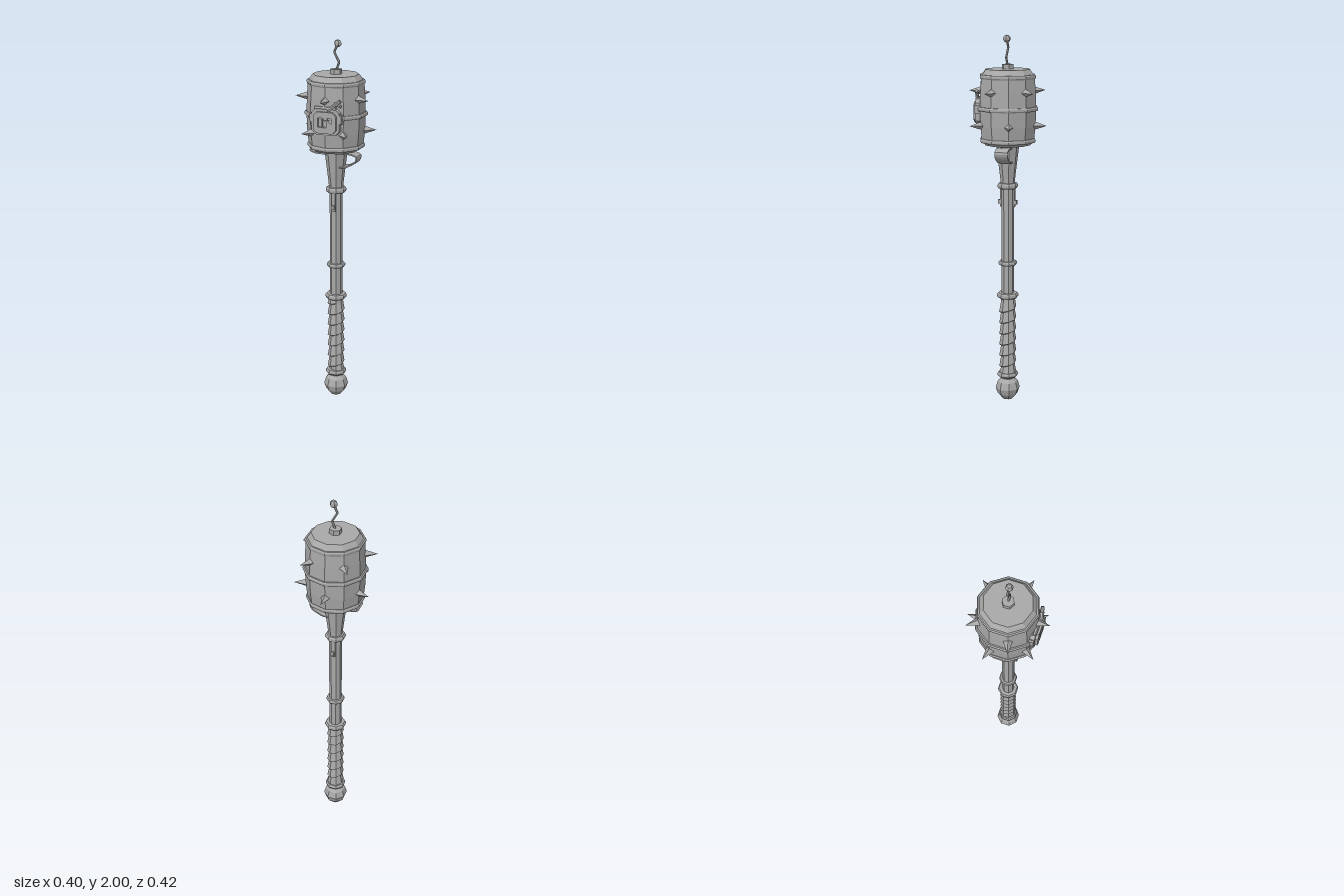
import * as THREE from 'three';

const metal = new THREE.MeshStandardMaterial({ color: 0xa8a8a8, flatShading: true });
metal.name = 'grey metal';

const V = (x, y, z = 0) => new THREE.Vector3(x, y, z);

function add(parent, name, geometry, x = 0, y = 0, z = 0) {
  const mesh = new THREE.Mesh(geometry, metal);
  mesh.name = name;
  mesh.position.set(x, y, z);
  parent.add(mesh);
  return mesh;
}

// Faceted turned part; profile is [radius, height] from bottom to top
function turned(profile, sides) {
  const start = sides === 8 ? Math.PI / 8 : 0;
  return new THREE.LatheGeometry(profile.map(p => new THREE.Vector2(...p)), sides, start);
}

// Bevelled hoop, with inner radius, outer radius and height
function hoop(inner, outer, height, sides) {
  const h = height / 2;
  return turned([[inner, -h], [outer - h * 0.4, -h], [outer, -h * 0.4],
    [outer, h * 0.4], [outer - h * 0.4, h], [inner, h]], sides);
}

// Overlapping spiral strip: wide lower edge, narrow upper edge and a ledge beneath
function spiralWrap(y0, y1, turns, rIn, rOut) {
  const sides = 8, pos = [], idx = [], pitch = (y1 - y0) / turns;
  const n = turns * sides;
  for (let i = 0; i <= n; i++) {
    const a = Math.PI / 8 + i / sides * Math.PI * 2;
    const y = y0 + pitch * (i / sides - 0.5);
    for (const [r, dy] of [[rIn, 0], [rOut, 0.006], [rIn, pitch]]) {
      const h = Math.min(y1, Math.max(y0, y + dy));
      pos.push(Math.sin(a) * r, h, Math.cos(a) * r);
    }
    if (i < n) {
      for (let k = 0; k < 2; k++) {
        const p = i * 3 + k, q = p + 3;
        idx.push(p, q, p + 1, q, q + 1, p + 1);
      }
    }
  }
  const g = new THREE.BufferGeometry();
  g.setAttribute('position', new THREE.Float32BufferAttribute(pos, 3));
  g.setIndex(idx);
  g.computeVertexNormals();
  return g;
}

// Rectangle with cut corners
function cutRect(w, h, c, Type = THREE.Shape) {
  const x = w / 2, y = h / 2;
  return new Type([[-x + c, -y], [x - c, -y], [x, -y + c], [x, y - c],
    [x - c, y], [-x + c, y], [-x, y - c], [-x, -y + c]].map(p => new THREE.Vector2(...p)));
}

function slab(shape, depth) {
  return new THREE.ExtrudeGeometry(shape, { depth, bevelEnabled: false, curveSegments: 6 });
}

// Flat strap following a path in x and y, as wide as depth in z
function strap(points, thickness, depth) {
  const pts = new THREE.CatmullRomCurve3(points.map(p => V(...p))).getPoints(16);
  const side = s => pts.map((p, i) => {
    const t = pts[Math.min(i + 1, 16)].clone().sub(pts[Math.max(i - 1, 0)]).normalize();
    return new THREE.Vector2(p.x - t.y * s, p.y + t.x * s);
  });
  const h = thickness / 2;
  return slab(new THREE.Shape([...side(h), ...side(-h).reverse()]), depth).translate(0, 0, -depth / 2);
}

function rod(a, b, r, sides = 6) {
  const d = b.clone().sub(a);
  const g = new THREE.CylinderGeometry(r, r, d.length(), sides);
  g.applyQuaternion(new THREE.Quaternion().setFromUnitVectors(V(0, 1), d.clone().normalize()));
  const m = a.clone().add(b).multiplyScalar(0.5);
  return g.translate(m.x, m.y, m.z);
}

function buildHandle() {
  const g = new THREE.Group();
  g.name = 'handle';
  add(g, 'pommel', turned([[0, 0], [0.03, 0.005], [0.056, 0.035], [0.067, 0.068],
    [0.056, 0.105], [0.03, 0.13], [0, 0.135]], 8));
  add(g, 'gripCore', turned([[0.036, 0.12], [0.036, 0.6]], 8));
  add(g, 'gripWrap', spiralWrap(0.155, 0.595, 7, 0.037, 0.047));
  add(g, 'shaft', turned([[0.034, 0.58], [0.034, 1.21]], 8));
  add(g, 'neck', turned([[0.036, 1.2], [0.04, 1.25], [0.052, 1.35], [0.063, 1.44]], 8));
  for (const [y, r, h] of [[0.147, 0.057, 0.026], [0.603, 0.058, 0.028],
    [0.785, 0.05, 0.022], [1.21, 0.054, 0.03]]) {
    add(g, 'handleRing', hoop(0.03, r, h, 8), 0, y);
  }
  // Riveted plates on the front and back of the shaft
  for (const s of [1, -1]) {
    add(g, 'shaftPlate', new THREE.BoxGeometry(0.022, 0.1, 0.012), 0, 1.145, s * 0.034);
    add(g, 'shaftRivet', new THREE.BoxGeometry(0.016, 0.022, 0.02), 0, 1.12, s * 0.042);
  }
  // Strap loops below the drum
  add(g, 'rightLoop', strap([[-0.04, 1.434, 0], [-0.11, 1.434, 0], [-0.134, 1.42, 0],
    [-0.11, 1.408, 0], [-0.04, 1.405, 0]], 0.007, 0.07));
  add(g, 'leftLoop', strap([[0.03, 1.415, 0], [0.1, 1.413, 0], [0.126, 1.4, 0],
    [0.115, 1.37, 0], [0.08, 1.35, 0], [0.065, 1.342, 0], [0.03, 1.338, 0]], 0.007, 0.07));
  return g;
}

function buildDrum() {
  const g = new THREE.Group();
  g.name = 'drum';
  add(g, 'drumBody', turned([[0, 1.43], [0.122, 1.43], [0.143, 1.455], [0.151, 1.53],
    [0.154, 1.62], [0.151, 1.71], [0.145, 1.79], [0.12, 1.825], [0, 1.825]], 10));
  for (const [y, r] of [[1.455, 0.151], [1.622, 0.165], [1.787, 0.152]]) {
    add(g, 'drumBand', hoop(0.13, r, 0.022, 10), 0, y);
  }
  // Two staggered rows of spikes on the drum corners
  for (let i = 0; i < 10; i++) {
    const a = i * Math.PI / 5;
    const geo = new THREE.ConeGeometry(0.025, 0.075, 4).rotateX(Math.PI / 2);
    const spike = add(g, 'spike', geo, Math.sin(a) * 0.1735, i % 2 ? 1.535 : 1.71, Math.cos(a) * 0.1735);
    spike.rotation.y = a;
  }
  return g;
}

function buildFuse() {
  const g = new THREE.Group();
  g.name = 'fuse';
  add(g, 'fuseNut', turned([[0, 1.82], [0.031, 1.82], [0.031, 1.85], [0, 1.85]], 6));
  const path = [V(0, 1.84), V(0.018, 1.885, 0.003), V(-0.01, 1.935), V(0.01, 1.98, 0.002)];
  for (let i = 0; i < 3; i++) add(g, 'fuseWire', rod(path[i], path[i + 1], 0.006));
  add(g, 'fuseTip', new THREE.SphereGeometry(0.02, 6, 5), 0.01, 1.98, 0.002);
  return g;
}

function buildSocket() {
  const g = new THREE.Group();
  g.name = 'socketPlate';
  add(g, 'backPlate', slab(cutRect(0.15, 0.135, 0.02), 0.035), 0.004, 1.605, 0.12);
  // Front frame with two upright slots
  const face = cutRect(0.125, 0.11, 0.02);
  for (const s of [-1, 1]) {
    const hole = cutRect(0.022, 0.05, 0.002, THREE.Path);
    hole.setFromPoints(hole.getPoints().map(p => p.add(new THREE.Vector2(s * 0.026, 0))));
    face.holes.push(hole);
  }
  add(g, 'slottedFace', slab(face, 0.014), 0.004, 1.602, 0.154);
  for (const s of [-1, 1]) {
    add(g, 'sideTab', new THREE.BoxGeometry(0.014, 0.045, 0.03), 0.004 + s * 0.079, 1.62, 0.138);
  }
  // Latch along the top, with a slanted lever at one end
  add(g, 'latchBar', rod(V(-0.055, 1.672, 0.148), V(0.06, 1.672, 0.148), 0.01));
  add(g, 'latchLever', rod(V(0.02, 1.665, 0.158), V(0.082, 1.715, 0.145), 0.009));
  add(g, 'latchHook', rod(V(0.05, 1.7, 0.148), V(0.086, 1.685, 0.142), 0.008));
  return g;
}

export function createModel() {
  const model = new THREE.Group();
  model.name = 'spikedMace';
  model.add(buildHandle(), buildDrum(), buildFuse(), buildSocket());
  return model;
}
